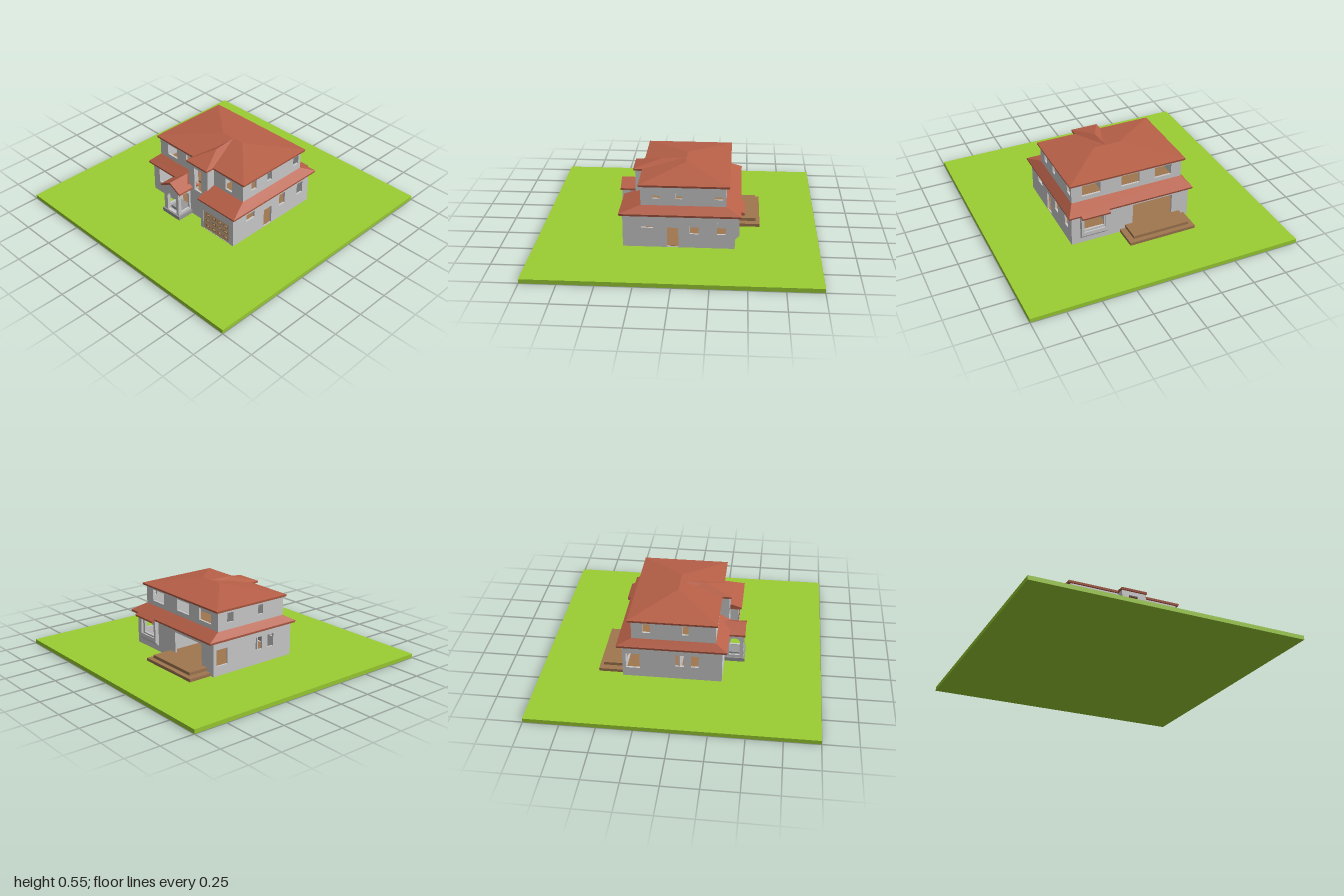
import * as THREE from 'three';

const mat = (color) => new THREE.MeshStandardMaterial({ color, side: THREE.DoubleSide, flatShading: true });
const T = 0.015; // wall thickness

export function createModel() {
  const house = new THREE.Group();
  house.name = 'house';
  const plaster = mat(0xcccccc), tile = mat(0xb86048), wood = mat(0xa0764f);
  const tan = mat(0xd2b48c), grass = mat(0x9acd32), stone = mat(0x999999);

  const add = (name, geometry, material) => {
    const mesh = new THREE.Mesh(geometry, material);
    mesh.name = name;
    house.add(mesh);
    return mesh;
  };

  // Box given by its limits
  const box = (name, x0, x1, y0, y1, z0, z1, material) =>
    add(name, new THREE.BoxGeometry(x1 - x0, y1 - y0, z1 - z0), material)
      .position.set((x0 + x1) / 2, (y0 + y1) / 2, (z0 + z1) / 2);

  // Rectangle path, optionally with a round arched top
  const opening = (a, b, y0, y1, arched) => {
    const p = new THREE.Path(), r = (b - a) / 2;
    p.moveTo(a, y0).lineTo(b, y0);
    if (arched) p.lineTo(b, y1 - r).absarc(a + r, y1 - r, r, 0, Math.PI, false);
    else p.lineTo(b, y1).lineTo(a, y1);
    p.closePath();
    return p;
  };

  // Wall running left to right as seen from outside; holes are [from, to, bottom, top, arched]
  // along the world axis the wall follows
  const wall = (name, [x1, z1], [x2, z2], y0, y1, holes = [], { material = plaster, peak = 0, depth = T } = {}) => {
    const dx = x2 - x1, dz = z2 - z1, len = Math.hypot(dx, dz);
    const start = Math.abs(dx) > Math.abs(dz) ? x1 : z1;
    const s = new THREE.Shape();
    s.moveTo(0, y0).lineTo(len, y0).lineTo(len, y1);
    if (peak) s.lineTo(len / 2, peak);
    s.lineTo(0, y1).closePath();
    for (const [a, b, h0, h1, arched] of holes) {
      const u = [Math.abs(a - start), Math.abs(b - start)].sort((m, n) => m - n);
      s.holes.push(opening(u[0], u[1], h0, h1, arched));
    }
    const g = new THREE.ExtrudeGeometry(s, { depth, bevelEnabled: false, curveSegments: 10 });
    g.translate(0, 0, -depth);
    const mesh = add(name, g, material);
    mesh.position.set(x1, 0, z1);
    mesh.rotation.y = Math.atan2(-dz, dx);
  };

  // Flat polygons joined into one geometry
  const faces = (name, polys, material) => {
    const pos = [];
    for (const p of polys)
      for (let i = 1; i < p.length - 1; i++) pos.push(...p[0], ...p[i], ...p[i + 1]);
    const g = new THREE.BufferGeometry();
    g.setAttribute('position', new THREE.Float32BufferAttribute(pos, 3));
    g.computeVertexNormals();
    add(name, g, material);
  };

  // Sloping roof between an eave line and a higher line, with fascia and flat soffit
  const roof = (name, eave, eaveY, upper, drop = 0.015) => {
    const polys = [], n = eave.length - 1;
    const E = eave.map(([x, z]) => [x, eaveY, z]);
    const F = eave.map(([x, z]) => [x * 0.995, eaveY - drop, z * 0.99]);
    const U = upper.map(([x, z, y]) => [x, y, z]);
    const S = upper.map(([x, z]) => [x, eaveY - drop, z]);
    for (let i = 0; i < n; i++)
      polys.push([E[i], E[i + 1], U[i + 1], U[i]], [F[i], F[i + 1], E[i + 1], E[i]], [S[i], S[i + 1], F[i + 1], F[i]]);
    polys.push([S[0], F[0], E[0], U[0]], [F[n], S[n], U[n], E[n]]);
    faces(name, polys, tile);
  };

  // Lawn and floors
  box('lawn', -1, 1, 0, 0.03, -1, 1, grass);
  box('groundFloor', -0.43, 0.46, 0.03, 0.036, -0.4, 0.29, wood);
  box('upperFloor', -0.425, 0.455, 0.272, 0.284, -0.395, 0.24, wood);

  // Ground storey
  const G0 = 0.03, G1 = 0.275;
  wall('frontWallRight', [-0.44, 0.3], [-0.03, 0.3], G0, G1,
    [[-0.38, -0.235, 0.12, 0.235], [-0.14, -0.05, 0.037, 0.225, true]]);
  wall('garageFront', [0.145, 0.375], [0.47, 0.375], G0, G1, [[0.175, 0.43, 0.033, 0.19]]);
  wall('garageSide', [0.145, 0.25], [0.145, 0.375], G0, G1);
  wall('lowerLeftWall', [0.47, 0.375], [0.47, -0.41], G0, G1, [
    [0.245, 0.16, 0.175, 0.23], [0.065, -0.015, 0.035, 0.18],
    [-0.095, -0.155, 0.135, 0.23], [-0.285, -0.345, 0.135, 0.23]]);
  wall('lowerBackWall', [0.47, -0.41], [-0.44, -0.41], G0, G1,
    [[0.385, 0.225, 0.13, 0.24], [0, -0.31, 0.06, 0.235]]);
  wall('lowerRightWall', [-0.44, -0.41], [-0.44, 0.3], G0, G1, [
    [-0.385, -0.285, 0.1, 0.22], [-0.03, 0.03, 0.135, 0.23], [0.08, 0.135, 0.135, 0.23]]);
  box('groundPartition', -0.43, -0.15, 0.03, 0.27, -0.01, 0, plaster);
  box('garagePartition', 0.145, 0.155, 0.03, 0.27, -0.4, 0.36, plaster);

  // Garage door with a grid of small framed lights
  const lights = [];
  for (const x of [0.219, 0.278, 0.336, 0.394])
    for (const y of [0.067, 0.116, 0.165]) lights.push([x - 0.02, x + 0.02, y - 0.011, y + 0.011]);
  wall('garageDoor', [0.175, 0.372], [0.43, 0.372], 0.033, 0.19, lights, { material: tan });
  for (const [a, b, y0, y1] of lights)
    wall('garageDoorLight', [a, 0.374], [b, 0.374], y0, y1, [[a + 0.006, b - 0.006, y0 + 0.005, y1 - 0.005]], { material: wood, depth: 0.008 });

  // Upper storey
  const W0 = 0.275, W1 = 0.478;
  wall('upperFrontRight', [-0.41, 0.25], [-0.03, 0.25], W0, W1,
    [[-0.33, -0.23, 0.37, 0.455], [-0.135, -0.065, 0.41, 0.455]]);
  wall('upperFrontLeft', [0.15, 0.25], [0.44, 0.25], W0, W1, [[0.27, 0.335, 0.36, 0.45]]);
  wall('upperLeftWall', [0.44, 0.25], [0.44, -0.345], W0, W1,
    [[0.165, 0.115, 0.385, 0.455], [0.005, -0.04, 0.385, 0.455], [-0.265, -0.32, 0.385, 0.455]]);
  wall('upperBackWall', [0.44, -0.345], [-0.41, -0.345], W0, W1,
    [[0.36, 0.22, 0.37, 0.455], [0.06, -0.08, 0.37, 0.455], [-0.2, -0.33, 0.37, 0.455]]);
  wall('upperRightWall', [-0.41, -0.345], [-0.41, 0.25], W0, W1,
    [[-0.265, -0.21, 0.385, 0.455], [0.015, 0.06, 0.385, 0.455]]);
  box('upperPartition', -0.4, 0.43, 0.284, 0.475, -0.06, -0.05, plaster);
  box('upperCrossPartition', 0.15, 0.16, 0.284, 0.475, -0.335, 0.24, plaster);

  // Projecting stair bay with a tall window
  wall('stairBayFront', [-0.035, 0.315], [0.155, 0.315], G0, W1, [[0.02, 0.09, 0.26, 0.445]]);
  wall('stairBaySideRight', [-0.035, 0.24], [-0.035, 0.315], G0, W1);
  wall('stairBaySideLeft', [0.155, 0.315], [0.155, 0.24], G0, W1);
  box('stairPost', 0.063, 0.075, 0.26, 0.35, 0.27, 0.28, wood);

  // Main hip roof, bay roof and the skirt roof around the ground storey
  const [x0, x1, z0, z1] = [-0.43, 0.46, -0.37, 0.265];
  const ridgeL = [0.14, -0.05, 0.545], ridgeR = [-0.06, -0.05, 0.545];
  roof('mainRoof', [[x0, z1], [x1, z1], [x1, z0], [x0, z0], [x0, z1]], 0.49,
    [ridgeR, ridgeL, ridgeL, ridgeR, ridgeR]);
  const bayBack = [0.048, -0.05, 0.545], bayFront = [0.058, 0.13, 0.539];
  roof('stairBayRoof', [[-0.045, -0.05], [-0.045, 0.33], [0.16, 0.33], [0.16, -0.05]], 0.49,
    [bayBack, bayFront, bayFront, bayBack]);
  roof('skirtRoof',
    [[0.14, 0.4], [0.5, 0.4], [0.5, -0.45], [-0.455, -0.45], [-0.455, 0.335], [-0.03, 0.335]], 0.287,
    [[0.14, 0.25], [0.44, 0.25], [0.44, -0.345], [-0.41, -0.345], [-0.41, 0.25], [-0.03, 0.25]]
      .map(([x, z]) => [x, z, 0.335]));

  // Window box on the back wall with its own small eave
  const [b0, b1] = [0.205, 0.405];
  wall('windowBoxFront', [b1, -0.44], [b0, -0.44], 0.1, 0.265, [[0.385, 0.225, 0.13, 0.24]], { depth: 0.01 });
  const side = (x) => [[x, 0.07, -0.41], [x, 0.1, -0.44], [x, 0.265, -0.44], [x, 0.265, -0.41]];
  const [sa, sb] = [side(b0), side(b1)];
  faces('windowBoxShell', [sa.slice().reverse(), sb, [sa[0], sb[0], sb[1], sa[1]]], plaster);
  roof('windowBoxRoof', [[0.41, -0.475], [0.2, -0.475]], 0.275, [[0.41, -0.45, 0.287], [0.2, -0.45, 0.287]]);

  // Entrance porch
  box('porchBase', -0.185, -0.01, 0.03, 0.06, 0.3, 0.445, stone);
  box('porchStep', -0.14, -0.045, 0.06, 0.08, 0.3, 0.4, stone);
  wall('porchFront', [-0.175, 0.435], [-0.025, 0.435], 0.06, 0.262, [[-0.14, -0.05, 0.063, 0.225, true]], { peak: 0.305, depth: 0.025 });
  wall('porchSideRight', [-0.175, 0.3], [-0.175, 0.43], 0.06, 0.262, [[0.33, 0.408, 0.08, 0.225, true]]);
  wall('porchSideLeft', [-0.025, 0.43], [-0.025, 0.3], 0.06, 0.262, [[0.33, 0.408, 0.08, 0.225, true]]);
  const gable = new THREE.Shape([[-0.195, 0.268], [-0.0975, 0.322], [0, 0.268], [0, 0.253], [-0.0975, 0.306], [-0.195, 0.253]]
    .map(([x, y]) => new THREE.Vector2(x, y)));
  add('porchRoof', new THREE.ExtrudeGeometry(gable, { depth: 0.185, bevelEnabled: false }), tile).position.z = 0.26;

  // Two-level wooden deck behind the house
  box('deckLower', -0.41, 0.1, 0.03, 0.052, -0.588, -0.41, wood);
  box('deckUpper', -0.37, 0.06, 0.058, 0.08, -0.56, -0.405, wood);
  box('deckSupport', -0.35, 0.04, 0.052, 0.058, -0.54, -0.41, wood);

  return house;
}
